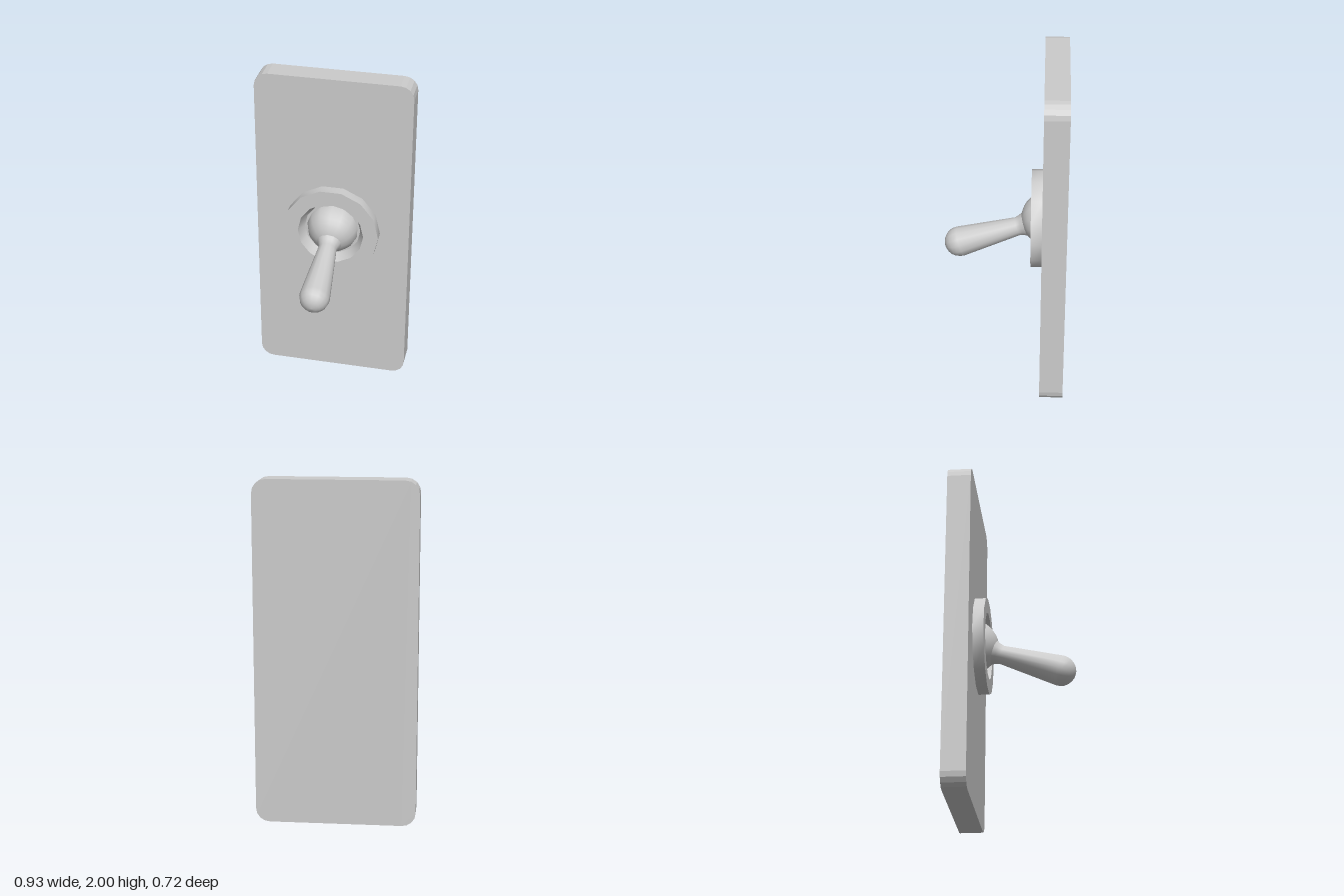
import * as THREE from 'three';
import { toCreasedNormals } from 'three/addons/utils/BufferGeometryUtils.js';

const material = new THREE.MeshStandardMaterial({ color: 0xcccccc });
const PIVOT_Y = 1.02;

function addPart(group, name, geometry) {
  const mesh = new THREE.Mesh(geometry, material);
  mesh.name = name;
  group.add(mesh);
  return mesh;
}

// Points on an arc in lathe space; angles are measured from the +y axis.
function arc(centerY, radius, from, to, steps) {
  return Array.from({ length: steps + 1 }, (_, i) => {
    const a = THREE.MathUtils.degToRad(from + ((to - from) * i) / steps);
    return new THREE.Vector2(Math.max(0, radius * Math.sin(a)), centerY + radius * Math.cos(a));
  });
}

export function createModel() {
  const group = new THREE.Group();
  group.name = 'toggleSwitch';

  // Wall plate with two-facet rounded corners
  const w = 0.465, h = 1, r = 0.08;
  const outline = new THREE.Shape();
  outline.absarc(w - r, h - r, r, 0, Math.PI / 2);
  outline.absarc(-w + r, h - r, r, Math.PI / 2, Math.PI);
  outline.absarc(-w + r, -h + r, r, Math.PI, Math.PI * 1.5);
  outline.absarc(w - r, -h + r, r, Math.PI * 1.5, Math.PI * 2);
  outline.closePath();
  const plate = addPart(group, 'plate', new THREE.ExtrudeGeometry(outline, {
    depth: 0.14, bevelEnabled: false, curveSegments: 2,
  }));
  plate.position.set(0, 1, -0.36);

  // Fourteen-sided collar with a funnel-shaped opening
  const collarProfile = [[0.29, 0], [0.29, 0.065], [0.2, 0.065], [0.17, 0]]
    .map(([x, y]) => new THREE.Vector2(x, y));
  const collar = addPart(group, 'collar',
    toCreasedNormals(new THREE.LatheGeometry(collarProfile, 14, Math.PI / 2), 0.55));
  collar.rotation.x = Math.PI / 2;
  collar.position.set(0, PIVOT_Y, -0.22);

  // Lever assembly, tilted downward about the centre of its ball
  const lever = new THREE.Group();
  lever.name = 'lever';
  lever.position.set(0, PIVOT_Y, -0.255);
  lever.rotation.x = Math.PI / 2 + Math.atan2(0.175, 0.525);
  group.add(lever);

  // Ball joint, open where it is buried in the plate
  addPart(lever, 'ballJoint', new THREE.LatheGeometry(arc(0, 0.16, 105, 0, 10), 14));

  // Handle: flared neck, widening shaft and round tip
  const handleProfile = [
    new THREE.Vector2(0.075, 0.138),
    new THREE.Vector2(0.063, 0.162),
    new THREE.Vector2(0.055, 0.19),
    ...arc(0.553, 0.09, 94, 0, 6),
  ];
  addPart(lever, 'handle', new THREE.LatheGeometry(handleProfile, 14));

  return group;
}
